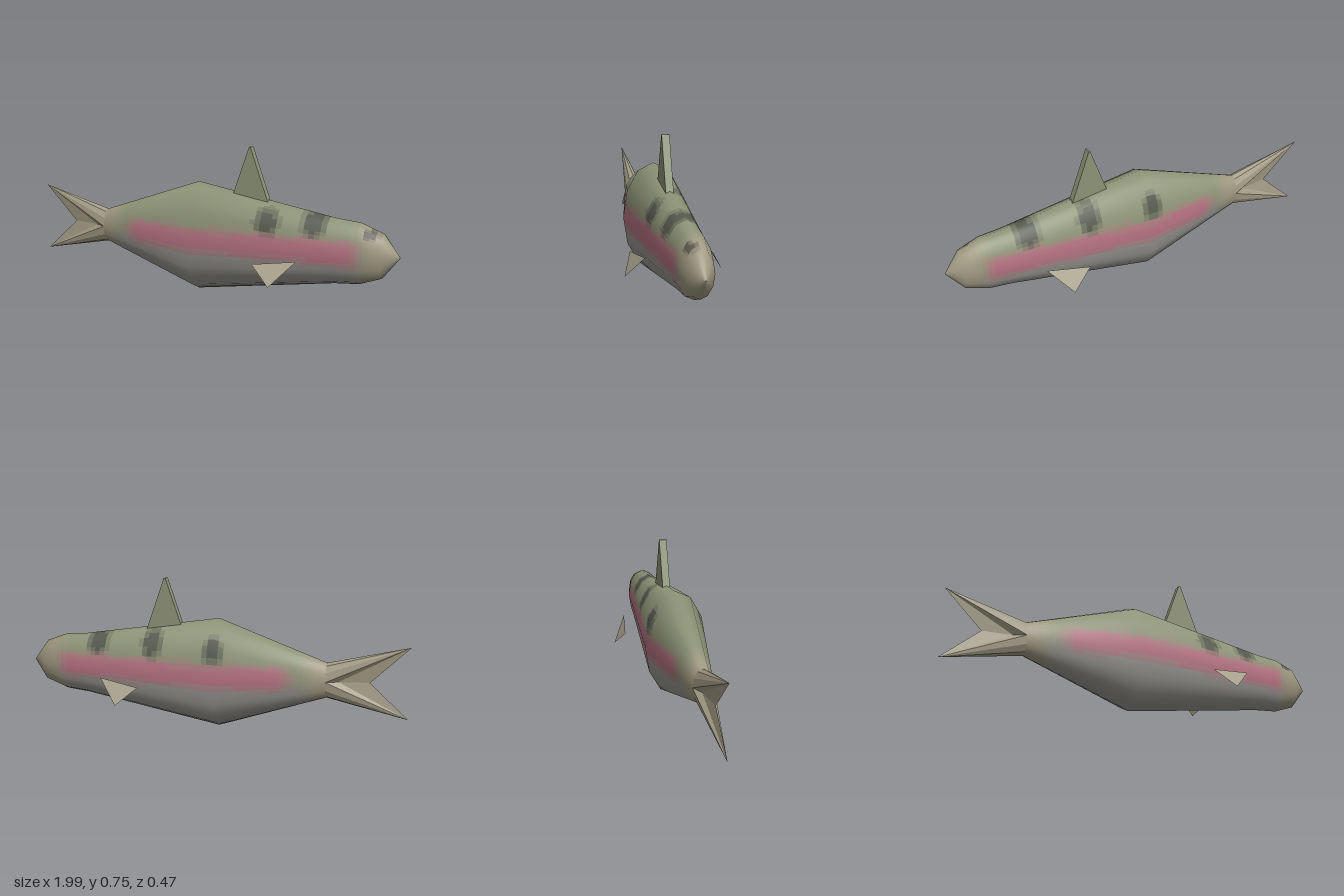
import * as THREE from 'three';

const SIDES = 12, MID_Y = 0.284;

// Body stations from tail root to nose: x, half height, half width
const RINGS = [
  [-0.60, 0.088, 0.050], [-0.05, 0.280, 0.156], [0.68, 0.160, 0.092],
  [0.80, 0.149, 0.083], [0.91, 0.108, 0.062], [0.99, 0.002, 0.002],
];

const lerp = (a, b, t) => a + (b - a) * t;
const smooth = THREE.MathUtils.smoothstep;

function ringPoint(i, k) {
  const [x, ry, rz] = RINGS[i], a = (k / SIDES) * Math.PI * 2;
  return new THREE.Vector3(x, MID_Y + ry * Math.cos(a), rz * Math.sin(a));
}

function ringNormal(i, k) {
  const a = (k / SIDES) * Math.PI * 2, c = Math.cos(a), s = Math.sin(a);
  const p = RINGS[Math.max(i - 1, 0)], q = RINGS[Math.min(i + 1, RINGS.length - 1)];
  const [, ry, rz] = RINGS[i], dx = q[0] - p[0];
  if (i === RINGS.length - 1) return new THREE.Vector3(1, 0.7 * c, 0.7 * s).normalize();
  return new THREE.Vector3(
    -(c * c * (q[1] - p[1]) / ry + s * s * (q[2] - p[2]) / rz) / dx, c / ry, s / rz).normalize();
}

// Blend a ring quantity inside one coarse panel
function blend(f, i, k, u, v) {
  return f(i, k).lerp(f(i, k + 1), v).lerp(f(i + 1, k).lerp(f(i + 1, k + 1), v), u);
}

// Markings: x, y, x radius, y radius, side (+1 left, -1 right, 0 both)
const SPOTS = [
  [0.36, 0.41, 0.09, 0.09, 1], [0.59, 0.42, 0.09, 0.10, 0], [0.86, 0.385, 0.05, 0.035, 1],
  [0.28, 0.43, 0.08, 0.11, -1], [-0.05, 0.42, 0.07, 0.10, -1],
];
const BACK = new THREE.Color(0x8d9377), BELLY = new THREE.Color(0x989792);
const HEAD = new THREE.Color(0xa09a82), PINK = new THREE.Color(0xb87384), DARK = new THREE.Color(0x35353a);

// Skin tint at a point, in a few steps so that cells share materials
function skinColor(p) {
  const step = (t) => Math.round(t * 4) / 4;
  const c = BELLY.clone().lerp(BACK, step(smooth(p.y, 0.2, 0.32)));
  c.lerp(HEAD, step(Math.max(smooth(p.x, 0.74, 0.9), 1 - smooth(p.x, -0.58, -0.42))));
  const along = smooth(p.x, -0.48, -0.34) * (1 - smooth(p.x, 0.76, 0.85));
  c.lerp(PINK, step(along * (1 - smooth(Math.abs(p.y - 0.29), 0.025, 0.09))));
  let dark = 0;
  for (const [x, y, rx, ry, side] of SPOTS) {
    if (side * p.z < 0) continue;
    const d = Math.hypot((p.x - x) / rx, (p.y - y) / ry);
    dark = Math.max(dark, 1 - smooth(d, 0.2, 1));
  }
  return c.lerp(DARK, step(dark * 0.85)).getHex();
}

function makeBody() {
  const group = new THREE.Group();
  group.name = 'body';
  const cells = new Map();
  const NV = 4;
  for (let i = 0; i < RINGS.length - 1; i++) {
    const nu = Math.max(3, Math.round((RINGS[i + 1][0] - RINGS[i][0]) / 0.027));
    for (let k = 0; k < SIDES; k++) for (let a = 0; a < nu; a++) for (let b = 0; b < NV; b++) {
      const hex = skinColor(blend(ringPoint, i, k, (a + 0.5) / nu, (b + 0.5) / NV));
      if (!cells.has(hex)) cells.set(hex, { pos: [], nor: [] });
      const { pos, nor } = cells.get(hex);
      for (const [du, dv] of [[0, 0], [0, 1], [1, 1], [0, 0], [1, 1], [1, 0]]) {
        const u = (a + du) / nu, v = (b + dv) / NV;
        pos.push(...blend(ringPoint, i, k, u, v).toArray());
        nor.push(...blend(ringNormal, i, k, u, v).normalize().toArray());
      }
    }
  }
  for (const [hex, { pos, nor }] of cells) {
    const g = new THREE.BufferGeometry();
    g.setAttribute('position', new THREE.Float32BufferAttribute(pos, 3));
    g.setAttribute('normal', new THREE.Float32BufferAttribute(nor, 3));
    const mesh = new THREE.Mesh(g, new THREE.MeshStandardMaterial({ color: hex }));
    mesh.name = 'skinPatch';
    group.add(mesh);
  }
  return group;
}

// Thin part from a list of triangles, each three points
function triangles(name, tris, color) {
  const g = new THREE.BufferGeometry().setFromPoints(tris.flat());
  g.computeVertexNormals();
  const mesh = new THREE.Mesh(g, new THREE.MeshStandardMaterial({ color, side: THREE.DoubleSide }));
  mesh.name = name;
  return mesh;
}

// Forked tail: each lobe fans from half of the last body ring to a tip
function makeTail() {
  const group = new THREE.Group();
  group.name = 'tail';
  const notch = new THREE.Vector3(-0.81, 0.286, 0);
  for (const [name, start, tipY] of [['upperTailLobe', -3, 0.473], ['lowerTailLobe', 3, 0.115]]) {
    const tip = new THREE.Vector3(-1, tipY, 0), tris = [];
    for (let k = start; k < start + 6; k++) tris.push([ringPoint(0, k + 1), ringPoint(0, k), tip]);
    for (const k of [start, start + 6]) {
      const root = ringPoint(0, k);
      // Groove between the lobes
      const groove = new THREE.Vector3(-0.66, MID_Y, root.z * 0.4);
      const tri = [[root, groove, tip], [groove, notch, tip]];
      tris.push(...(k === start ? tri : tri.map(([a, b, c]) => [b, a, c])));
    }
    group.add(triangles(name, tris, 0xa39d86));
  }
  return group;
}

// Upright fin on the back, a thick triangle
function makeDorsalFin() {
  const s = new THREE.Shape();
  s.moveTo(0.142, 0.5);
  s.lineTo(0.335, 0.49);
  s.lineTo(0.239, 0.755);
  s.lineTo(0.231, 0.755);
  const g = new THREE.ExtrudeGeometry(s, { depth: 0.038, bevelEnabled: false });
  g.translate(0, 0, -0.019);
  const fin = new THREE.Mesh(g, new THREE.MeshStandardMaterial({ color: 0x8d9377 }));
  fin.name = 'dorsalFin';
  return fin;
}

function makeSideFin(name, side) {
  const pts = [[0.325, 0.22, 0.19], [0.43, 0.13, 0.235], [0.54, 0.25, 0.16]]
    .map(([x, y, z]) => new THREE.Vector3(x, y, z * side));
  return triangles(name, [side > 0 ? pts : pts.reverse()], 0xa9a48e);
}

export function createModel() {
  const fish = new THREE.Group();
  fish.name = 'fish';
  fish.add(makeBody(), makeTail(), makeDorsalFin(),
    makeSideFin('frontSideFin', 1), makeSideFin('backSideFin', -1));
  return fish;
}
